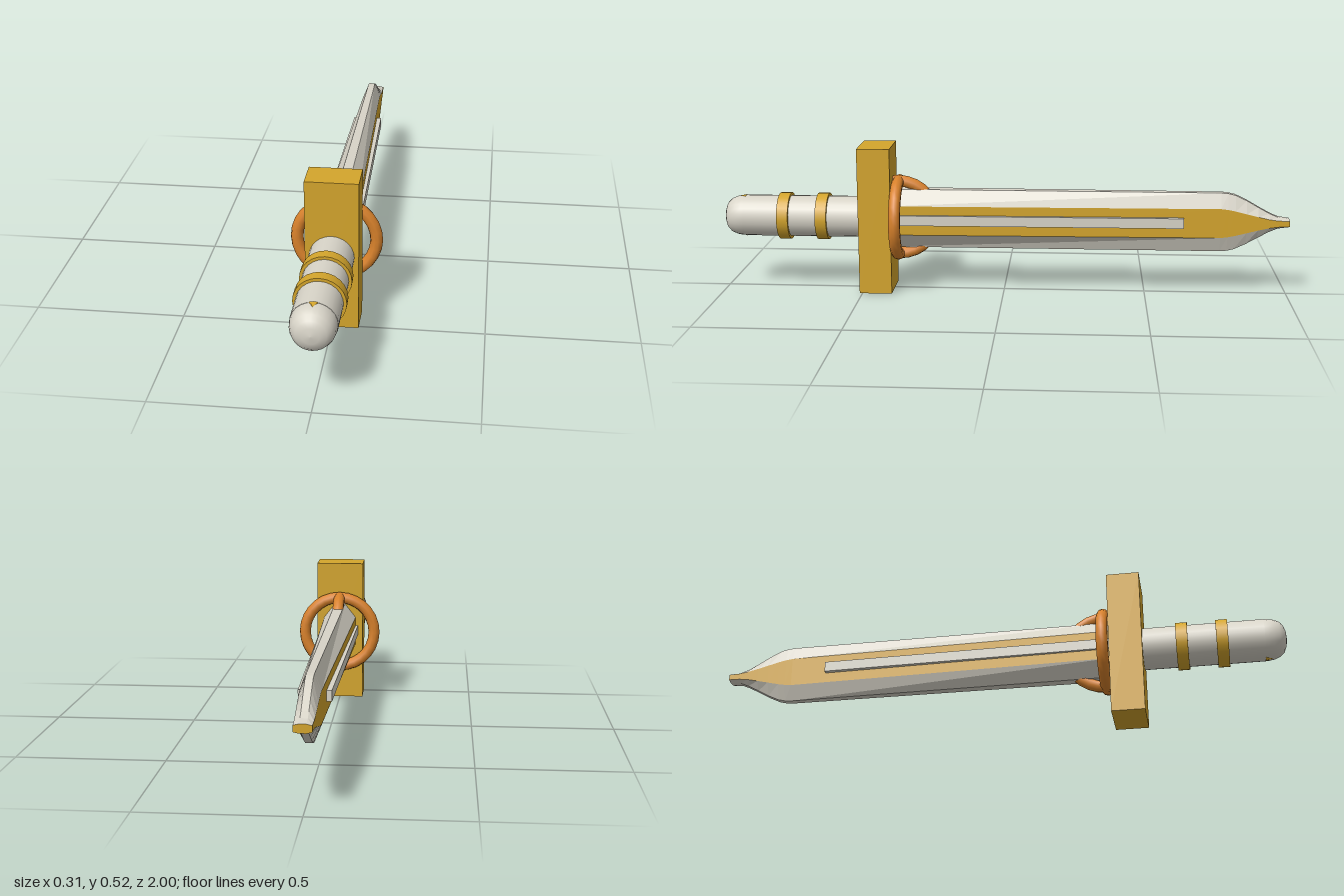
import * as THREE from 'three';

const mat = (name, color, side = THREE.FrontSide) => {
  const m = new THREE.MeshStandardMaterial({ color, side });
  m.name = name;
  return m;
};

export function createModel() {
  const silver = mat('silver', 0xd8d4c8);
  const gold = mat('gold', 0xd4a52c);
  const bronze = mat('bronze', 0xd9822b);
  const CY = 0.26; // height of the sword's long axis

  const model = new THREE.Group();
  model.name = 'sword';
  const add = (name, geometry, material, x, y, z) => {
    const mesh = new THREE.Mesh(geometry, material);
    mesh.name = name;
    mesh.position.set(x, y, z);
    model.add(mesh);
    return mesh;
  };
  const rod = (r, length) => new THREE.CylinderGeometry(r, r, length, 24).rotateX(Math.PI / 2);

  // Crossguard block
  add('guard', new THREE.BoxGeometry(0.174, 0.52, 0.115), gold, 0, CY, 0.4525);

  // Grip with two raised bands and a domed pommel
  add('grip', rod(0.073, 0.42), silver, 0, CY, 0.715);
  for (const z of [0.645, 0.782]) add('gripBand', rod(0.083, 0.04), gold, 0, CY, z);
  const dome = [[0.072, 0.92], [0.072, 0.935], [0.069, 0.955], [0.061, 0.975], [0.047, 0.989], [0.026, 0.997], [0, 1]]
    .map(([r, z]) => new THREE.Vector2(r, z));
  add('pommel', new THREE.LatheGeometry(dome, 24).rotateX(Math.PI / 2), silver, 0, CY, 0);

  // Small studs above and below the pommel
  for (const s of [1, -1]) {
    const stud = new THREE.ConeGeometry(0.014, 0.024, 8).rotateX(Math.PI / 2).scale(1, 0.35, 1);
    add('pommelStud', stud, gold, 0, CY + s * 0.0705, 0.936);
  }

  // Two crossed rings behind the guard
  const ring = new THREE.TorusGeometry(0.132, 0.021, 10, 28);
  add('flatRing', ring, bronze, 0, CY, 0.376);
  add('uprightRing', ring, bronze, 0, CY, 0.376).rotation.y = Math.PI / 2;

  // Blade sections: z, half height, half height of the flat panel
  const sections = [
    [0.4, 0.105, 0.052], [-0.76, 0.105, 0.052], [-0.785, 0.103, 0.049], [-0.81, 0.097, 0.044],
    [-0.85, 0.078, 0.034], [-0.89, 0.055, 0.024], [-0.93, 0.033, 0.015], [-0.96, 0.02, 0.011], [-1, 0.014, 0.01],
  ].map(([z, h, p]) => {
    const k = (z + 1) / 1.4;
    const t = 0.028 + 0.032 * k;
    const e = 0.011 + 0.008 * k;
    return [[t, -p], [t, p], [e, h], [-e, h], [-t, p], [-t, -p], [-e, -h], [e, -h]].map(([x, y]) => [x, y, z]);
  });
  const faces = { silver: [], gold: [] };
  for (let s = 0; s < sections.length - 1; s++) {
    for (let i = 0; i < 8; i++) {
      const j = (i + 1) % 8;
      const a = sections[s][i], b = sections[s][j], c = sections[s + 1][j], d = sections[s + 1][i];
      // Broad sides are gold, bevels and edges silver
      faces[i % 4 === 0 ? 'gold' : 'silver'].push(...a, ...d, ...c, ...a, ...c, ...b);
    }
  }
  // End caps
  const root = sections[0], tip = sections[sections.length - 1];
  for (let i = 1; i < 7; i++) {
    faces.silver.push(...root[0], ...root[i], ...root[i + 1]);
    faces.gold.push(...tip[0], ...tip[i + 1], ...tip[i]);
  }
  const faceted = (list) => {
    const g = new THREE.BufferGeometry();
    g.setAttribute('position', new THREE.Float32BufferAttribute(list, 3));
    g.computeVertexNormals();
    return g;
  };
  add('bladeEdges', faceted(faces.silver), silver, 0, CY, 0);
  add('bladePanels', faceted(faces.gold), gold, 0, CY, 0);

  // Tapered raised rib through the middle of the blade
  const rib = new THREE.BoxGeometry(1, 0.036, 1.025);
  const pos = rib.attributes.position;
  for (let i = 0; i < pos.count; i++) {
    pos.setX(i, Math.sign(pos.getX(i)) * (pos.getZ(i) > 0 ? 0.069 : 0.053));
  }
  rib.computeVertexNormals();
  add('bladeRib', rib, silver, 0, CY + 0.002, -0.1175);

  return model;
}
